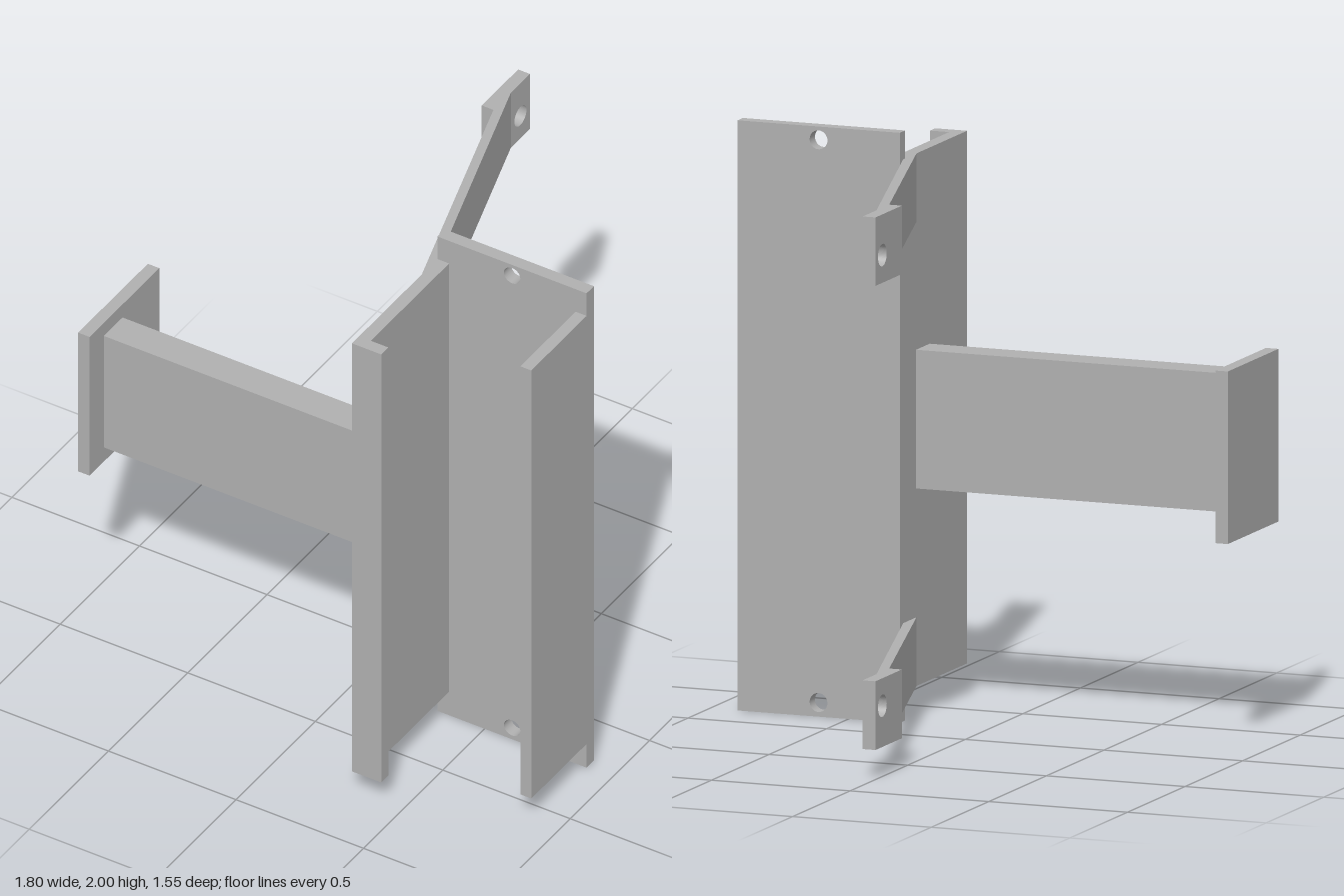
import * as THREE from 'three';

const steel = new THREE.MeshStandardMaterial({ color: 0xb0b0b0 });
steel.name = 'grey steel';

export function createModel() {
  const group = new THREE.Group();

  const add = (name, geometry) => {
    const mesh = new THREE.Mesh(geometry, steel);
    mesh.name = name;
    group.add(mesh);
  };

  // Box given by its limits on each axis
  const box = (name, [x0, x1], [y0, y1], [z0, z1]) => {
    const g = new THREE.BoxGeometry(x1 - x0, y1 - y0, z1 - z0);
    add(name, g.translate((x0 + x1) / 2, (y0 + y1) / 2, (z0 + z1) / 2));
  };

  // Flat plate with round holes, [x, y, radius] each
  const plate = (points, depth, holes) => {
    const shape = new THREE.Shape(points.map(([x, y]) => new THREE.Vector2(x, y)));
    for (const [x, y, r] of holes) {
      shape.holes.push(new THREE.Path().absarc(x, y, r, 0, Math.PI * 2, true));
    }
    return new THREE.ExtrudeGeometry(shape, { depth, bevelEnabled: false, curveSegments: 32 });
  };

  // Plan outline of [x, z] points raised from y0 to y1
  const prism = (name, plan, y0, y1) => {
    const g = plate(plan.map(([x, z]) => [x, -z]), y1 - y0, []);
    add(name, g.rotateX(-Math.PI / 2).translate(0, y0, 0));
  };

  // Tall mounting plate with a bolt hole at each end
  add('mountingPlate', plate(
    [[0.315, 0], [0.9, 0], [0.9, 2], [0.315, 2]], 0.046,
    [[0.608, 0.048, 0.032], [0.608, 1.955, 0.032]],
  ).translate(0, 0, 0.19));

  // Channel walls; the deeper one has an inward lip
  prism('lippedWall', [
    [0.315, 0.236], [0.315, 0.775], [0.43, 0.775],
    [0.43, 0.73], [0.361, 0.73], [0.361, 0.236],
  ], 0.1, 1.905);
  box('plainWall', [0.857, 0.9], [0.1, 1.905], [0.236, 0.585]);

  // Side beam and its end plate
  box('sideBeam', [-0.86, 0.315], [0.77, 1.24], [0.332, 0.45]);
  box('endPlate', [-0.905, -0.86], [0.71, 1.295], [0.1, 0.54]);

  // Upper and lower slanted arms, each ending in a drilled tab
  for (const [name, y0, y1, holeY] of [
    ['lower', 0.1, 0.333, 0.24],
    ['upper', 1.673, 1.905, 1.767],
  ]) {
    prism(name + 'Arm', [
      [0, -0.66], [0, -0.55], [0.046, -0.55],
      [0.315, 0.335], [0.315, 0.22], [0.046, -0.66],
    ], y0, y1);
    add(name + 'ArmTab', plate(
      [[0.66, y0], [0.78, y0], [0.78, y1], [0.66, y1]], 0.046,
      [[0.72, holeY, 0.038]],
    ).rotateY(Math.PI / 2));
  }

  return group;
}
